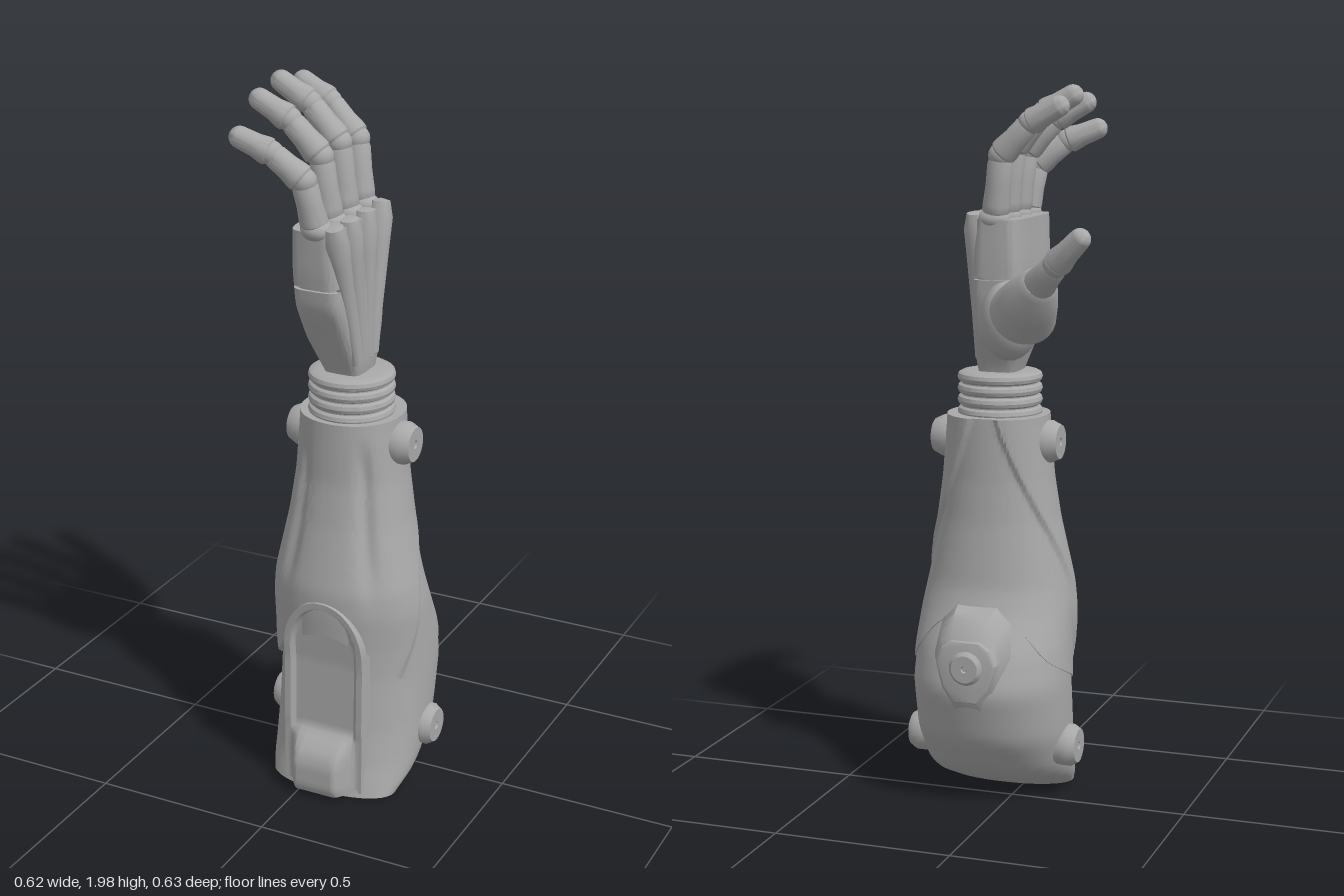
import * as THREE from 'three';
import { toCreasedNormals } from 'three/addons/utils/BufferGeometryUtils.js';

const V = (x, y, z) => new THREE.Vector3(x, y, z);
const { smoothstep, clamp } = THREE.MathUtils;

// Linear look-up of column c in rows sorted by their first entry
function look(rows, y, c = 1) {
  if (y <= rows[0][0]) return rows[0][c];
  for (let i = 1; i < rows.length; i++) {
    const [p, q] = [rows[i - 1], rows[i]];
    if (y <= q[0]) return p[c] + (q[c] - p[c]) * (y - p[0]) / (q[0] - p[0]);
  }
  return rows[rows.length - 1][c];
}
const soft = (rows, y, c, d = 0.02) =>
  (look(rows, y - d, c) + 2 * look(rows, y, c) + look(rows, y + d, c)) / 4;

// Grid surface: fn(u, v) with u, v in 0..1
function surface(fn, nu, nv, crease = 0.6) {
  const pos = [], idx = [];
  for (let j = 0; j <= nv; j++) for (let i = 0; i <= nu; i++) pos.push(...fn(i / nu, j / nv));
  for (let j = 0; j < nv; j++) for (let i = 0; i < nu; i++) {
    const a = j * (nu + 1) + i, b = a + nu + 1;
    idx.push(a, b, a + 1, a + 1, b, b + 1);
  }
  const g = new THREE.BufferGeometry();
  g.setAttribute('position', new THREE.Float32BufferAttribute(pos, 3));
  g.setIndex(idx);
  return toCreasedNormals(g, crease);
}

// Rounded-rectangle section point; row = y, x0, x1, z0, z1
function section(rows, y, t, off, n, d) {
  const [x0, x1, z0, z1] = [1, 2, 3, 4].map(c => soft(rows, y, c, d));
  const p = v => Math.sign(v) * Math.pow(Math.abs(v), 2 / n);
  return [(x0 + x1) / 2 + ((x1 - x0) / 2 + off) * p(Math.cos(t)), y,
    (z0 + z1) / 2 + ((z1 - z0) / 2 + off) * p(Math.sin(t))];
}
// Closed loft between two heights, with flat ends
function loft(rows, y0, y1, n, nv, d) {
  return surface((u, v) => {
    const k = clamp((v * (nv + 2) - 1) / nv, 0, 1), y = y0 + (y1 - y0) * k;
    if (v > 0 && v < 1) return section(rows, y, u * Math.PI * 2, 0, n, d);
    return [(look(rows, y, 1) + look(rows, y, 2)) / 2, y, (look(rows, y, 3) + look(rows, y, 4)) / 2];
  }, 64, nv + 2, 0.7);
}

const ROUND = 2.12; // squareness of the forearm section
const forearmRows = [
  [0.01, -0.12, 0.245, 0.11, 0.265], [0.04, -0.14, 0.265, 0.01, 0.262],
  [0.09, -0.15, 0.275, -0.07, 0.25], [0.2, -0.157, 0.282, -0.155, 0.235],
  [0.35, -0.157, 0.282, -0.2, 0.228], [0.45, -0.152, 0.278, -0.17, 0.23],
  [0.55, -0.145, 0.272, -0.115, 0.237], [0.62, -0.135, 0.26, -0.09, 0.237],
  [0.8, -0.097, 0.217, -0.07, 0.2], [0.92, -0.08, 0.198, -0.066, 0.183],
  [1.09, -0.066, 0.182, -0.07, 0.182]];
const palmRows = [
  [1.2, 0.005, 0.105, 0.01, 0.125], [1.24, -0.01, 0.112, -0.003, 0.143],
  [1.32, -0.035, 0.11, -0.042, 0.182], [1.42, -0.042, 0.107, -0.063, 0.233],
  [1.52, -0.042, 0.102, -0.068, 0.248], [1.64, -0.035, 0.096, -0.07, 0.258]];
const sleeveEdge = [[0, 0.5], [0.55, 0.45], [1.05, 0.33], [1.5, 0.37], [2.1, 0.43], [2.6, 0.53], [3.15, 0.57]];
const swoosh = [[0.33, 0.9], [0.5, 1.35], [0.7, 1.75], [0.95, 2.6], [1.1, 3.0]];
const plateFront = [[0, 0.285], [0.04, 0.31], [0.11, 0.31], [0.145, 0.298], [0.19, 0.25], [0.4, 0.246], [0.59, 0.262]];

export function createModel() {
  const model = new THREE.Group();
  const steel = new THREE.MeshStandardMaterial({ color: 0xa8a8a8, side: THREE.DoubleSide });
  steel.name = 'grey metal';
  const add = (name, geo, parent = model) => {
    const m = new THREE.Mesh(geo, steel);
    m.name = name;
    parent.add(m);
    return m;
  };
  // Lathe turned to run from a to b; profile is [radius, distance]
  const turned = (name, profile, a, b, parent, seg = 28) => {
    const g = new THREE.LatheGeometry(profile.map(p => new THREE.Vector2(...p)), seg);
    const m = add(name, toCreasedNormals(g, 0.6), parent);
    m.position.copy(a);
    m.quaternion.setFromUnitVectors(V(0, 1, 0), b.clone().sub(a).normalize());
    return m;
  };
  // Finger bone: flared ends and a slim waist, or a rounded tip
  const bone = (name, a, b, r0, r1, parent, tip = false) => {
    const L = a.distanceTo(b), w = (r0 + r1) / 2;
    const prof = [[0, 0], [r0 * 0.75, 0], [r0, L * 0.1], [r0, L * 0.2], [w * 0.95, L * 0.5]];
    if (tip) for (let i = 0; i <= 6; i++) {
      const t = i / 6 * Math.PI / 2;
      prof.push([r1 * Math.cos(t), L + r1 * Math.sin(t)]);
    } else prof.push([r1, L * 0.86], [r1 * 0.8, L], [0, L]);
    return turned(name, prof, a, b, parent, 20);
  };
  const ball = (name, p, r, parent, sx = 1, sy = 1, sz = 1) => {
    const m = add(name, new THREE.SphereGeometry(r, 24, 16), parent);
    m.position.copy(p);
    m.scale.set(sx, sy, sz);
    return m;
  };

  // Elbow body and overlapping forearm sleeve
  add('elbowBody', loft(forearmRows, 0.01, 1.09, ROUND, 50, 0.02));
  add('forearmSleeve', surface((u, v) => {
    const t = u * Math.PI * 2;
    let a = Math.abs(t - Math.PI / 2);
    if (a > Math.PI) a = 2 * Math.PI - a;
    const low = soft(sleeveEdge, a, 1, 0.12);
    const k = clamp((v * 64 - 1) / 62, 0, 1), y = low + (1.095 - low) * k;
    let off = 0.005 + 0.012 * smoothstep(soft(swoosh, y, 1, 0.05) - a, 0, 0.1);
    off -= 0.014 * Math.exp(-(((a - 0.62) / 0.13) ** 2)) * smoothstep(y, 0.55, 0.75) * (1 - smoothstep(y, 0.95, 1.07));
    if (v === 0 || v === 1) off = -0.03;
    return section(forearmRows, y, t, off, ROUND, 0.02);
  }, 128, 64));

  // Arched front plate with a sunken panel and a raised foot
  add('frontPlate', surface((u, v) => {
    const y = 0.01 + 0.583 * Math.sin(v * Math.PI / 2);
    const arch = (base, rise) => Math.sqrt(Math.max(0, 1 - clamp((y - base) / rise, 0, 1) ** 2));
    const w = 0.125 * arch(0.44, 0.153) + 0.002;
    const s = 1 - 2 * u, e = Math.abs(s), x = e * w;
    let z = soft(plateFront, y, 1, 0.008);
    const bump = Math.max(0, z - 0.248) * (1 - smoothstep(y, 0.19, 0.22));
    z -= bump * smoothstep(x, 0.055, 0.105);
    const inner = 0.1 * arch(0.44, 0.133);
    z -= 0.012 * (1 - smoothstep(x, inner - 0.012, inner + 0.002)) * smoothstep(y, 0.175, 0.2) * (inner > 0 ? 1 : 0);
    if (e > 0.96 || v === 1 || v === 0) z = 0.16;
    return [0.06 + s * w, y, z];
  }, 60, 70));

  // Tapered shield on the back of the elbow
  const outline = new THREE.Shape([[-0.105, 0.03], [-0.085, 0.11], [-0.05, 0.145], [0.05, 0.145], [0.085, 0.11], [0.105, 0.03], [0.08, -0.1], [0.04, -0.18], [-0.04, -0.18], [-0.08, -0.1]]
    .map(p => new THREE.Vector2(...p)));
  const shield = new THREE.ExtrudeGeometry(outline, { depth: 0.135, steps: 8, bevelEnabled: true, bevelThickness: 0.01, bevelSize: 0.012, bevelSegments: 3 });
  const sp = shield.attributes.position;
  for (let i = 0; i < sp.count; i++) {
    const k = clamp(sp.getZ(i) / 0.135, 0, 1);
    sp.setXY(i, sp.getX(i) * (1.06 - 0.32 * k * k), sp.getY(i) * (1 - 0.5 * k ** 3));
  }
  const shieldMesh = add('elbowShield', toCreasedNormals(shield, 0.6));
  shieldMesh.position.set(0.065, 0.425, -0.062);
  shieldMesh.rotation.y = Math.PI;

  // Round pivot caps
  const cap = (name, r, h, a, dir) => turned(name,
    [[r * 0.9, -0.06], [r, 0], [r, h * 0.55], [r * 0.8, h], [r * 0.2, h], [r * 0.15, h - 0.005], [0, h - 0.005]],
    a, a.clone().add(dir));
  for (const s of [1, -1]) {
    cap('upperPivot', 0.059, 0.055, V(0.062 + s * 0.128, 1.02, 0.06), V(s, 0, 0));
    cap('lowerPivot', 0.059, 0.042, V(0.06 + s * 0.206, 0.165, 0.03), V(s, 0, 0));
  }
  cap('elbowPivot', 0.047, 0.022, V(0.062, 0.43, -0.2), V(0, 0, -1));

  // Ribbed wrist
  const ribs = [[0, 1.06], [0.108, 1.06]];
  for (let i = 0; i < 4; i++) {
    const y = 1.085 + i * 0.032;
    ribs.push([0.107, y], [0.115, y + 0.005], [0.118, y + 0.014], [0.115, y + 0.024], [0.107, y + 0.029]);
  }
  ribs.push([0.09, 1.213], [0, 1.213]);
  turned('wrist', ribs, V(0.058, 0, 0.066), V(0.058, 1, 0.066), model, 48);

  // Palm in two blocks with a thin seam
  const hand = new THREE.Group();
  hand.name = 'hand';
  model.add(hand);
  add('lowerPalm', loft(palmRows, 1.2, 1.472, 5, 16, 0.02), hand);
  add('upperPalm', loft(palmRows, 1.48, 1.635, 5, 10, 0.01), hand);
  add('palmCore', loft(palmRows.map(r => [r[0], r[1] + 0.01, r[2] - 0.01, r[3] + 0.01, r[4] - 0.01]), 1.4, 1.6, 5, 8, 0.02), hand);

  // Fingers: base z, tip z, height scale; each has a tendon on the back of the hand
  for (const [name, z0, z1, s] of [['little', 0.23, 0.277, 0.7], ['ring', 0.147, 0.17, 0.93], ['middle', 0.055, 0.053, 1], ['index', -0.037, -0.07, 0.92]]) {
    const finger = new THREE.Group();
    finger.name = name + 'Finger';
    hand.add(finger);
    const at = (x, y, k) => V(x, 1.64 + (y - 1.64) * s, z0 + (z1 - z0) * k);
    const p = [at(0.035, 1.64, 0), at(0.014, 1.82, 0.45), at(-0.07, 1.914, 0.75), at(-0.153, 1.962, 1)];
    bone('proximal', p[0], p[1], 0.037, 0.034, finger);
    bone('middleBone', p[1], p[2], 0.038, 0.032, finger);
    bone('fingertip', p[2], p[3], 0.036, 0.029, finger, true);
    ball('knuckle', p[1], 0.034, finger);
    ball('topKnuckle', p[2], 0.032, finger);
    ball('socket', V(0.04, 1.635, z0), 0.038, finger, 1.2, 0.8, 1);
    const a = V(0.098, 1.24, 0.07 + (z0 - 0.08) * 0.35), b = V(0.09, 1.635, z0);
    const L = a.distanceTo(b);
    turned('tendon', [[0, 0], [0.018, 0.01], [0.022, L * 0.35], [0.03, L * 0.75], [0.034, L * 0.93], [0.025, L + 0.015], [0, L + 0.022]], a, b, finger, 16);
  }

  // Thumb with a broad flared root
  const thumb = new THREE.Group();
  thumb.name = 'thumb';
  hand.add(thumb);
  const q = [V(-0.06, 1.39, -0.085), V(-0.148, 1.487, -0.212), V(-0.205, 1.54, -0.252), V(-0.281, 1.611, -0.288)];
  ball('thumbMuscle', V(-0.01, 1.365, -0.05), 0.095, thumb, 0.85, 1.15, 0.9);
  const L = q[0].distanceTo(q[1]);
  turned('thumbRoot', [[0, -0.02], [0.08, -0.02], [0.092, 0], [0.078, L * 0.4], [0.053, L * 0.92], [0.04, L], [0, L]], q[0], q[1], thumb);
  bone('thumbBone', q[1].clone().lerp(q[0], 0.1), q[2], 0.044, 0.036, thumb);
  ball('thumbKnuckle', q[2], 0.035, thumb);
  bone('thumbTip', q[2], q[3], 0.038, 0.029, thumb, true);

  return model;
}
